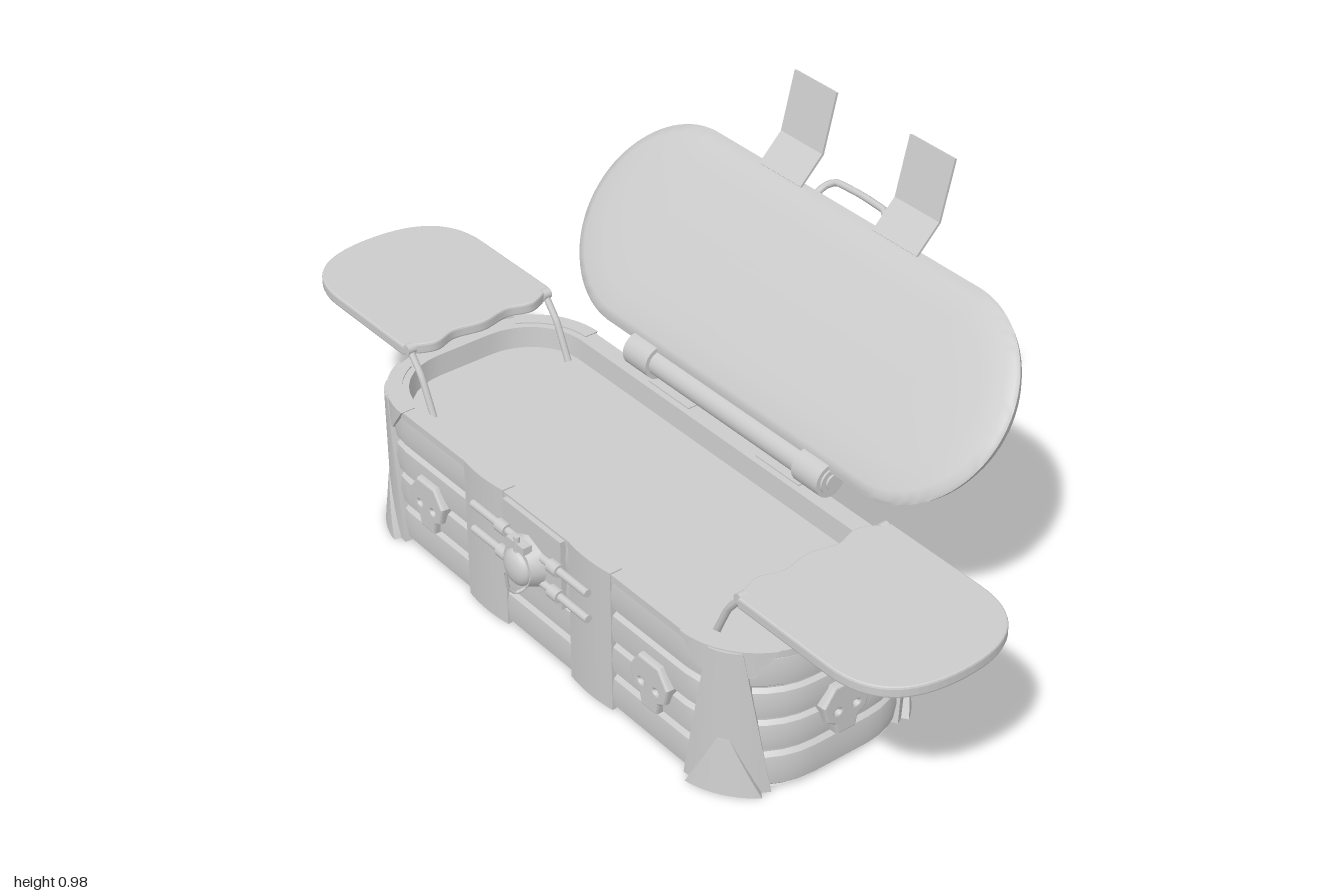
import * as THREE from 'three';
import { toCreasedNormals } from 'three/addons/utils/BufferGeometryUtils.js';

const mat = new THREE.MeshStandardMaterial({ color: 0xcccccc, side: THREE.DoubleSide });
const ZC = 0.155, H = 0.345;            // chest centre in z, chest height
const A = 0.48, B = 0.07, R = 0.18;     // plan: half straights and corner radius
const Q = A + B + R * Math.PI / 2;      // quarter of the perimeter
const CORNER = A + R * 0.56;            // corner posts sit toward the long sides

function add(parent, name, geo, x = 0, y = 0, z = 0) {
  const m = new THREE.Mesh(geo, mat);
  m.name = name;
  m.position.set(x, y, z);
  parent.add(m);
  return m;
}

// Point on the chest outline at arc length s (0 = front middle), pushed out by off
function wall(s, off, y) {
  s = ((s % (4 * Q)) + 4 * Q) % (4 * Q);
  let fx = 1, fz = 1, x, z;
  if (s > 2 * Q) { s = 4 * Q - s; fx = -1; }
  if (s > Q) { s = 2 * Q - s; fz = -1; }
  if (s < A) { x = s; z = B + R + off; }
  else if (s > Q - B) { x = A + R + off; z = Q - s; }
  else {
    const a = (s - A) / R;
    x = A + (R + off) * Math.sin(a);
    z = B + (R + off) * Math.cos(a);
  }
  return new THREE.Vector3(fx * x, y, ZC + fz * z);
}

// Skin over closed rings of equal length
function loft(rings, crease = 0.6) {
  const n = rings[0].length, pos = [], idx = [];
  rings.forEach(r => r.forEach(p => pos.push(p.x, p.y, p.z)));
  for (let j = 0; j < rings.length - 1; j++) for (let i = 0; i < n; i++) {
    const a = j * n + i, b = j * n + (i + 1) % n;
    idx.push(a, b, b + n, a, b + n, a + n);
  }
  const g = new THREE.BufferGeometry();
  g.setAttribute('position', new THREE.Float32BufferAttribute(pos, 3));
  g.setIndex(idx);
  return toCreasedNormals(g, crease);
}

function chestLoft(profile) {
  return loft(profile.map(([off, y]) => Array.from({ length: 96 }, (_, i) =>
    off === null ? new THREE.Vector3(0, y, ZC) : wall(i / 96 * 4 * Q, off, y))));
}

// Plate wrapped on the chest wall, tapering from half-width w0 (bottom) to w1 (top)
function plate(s, y0, y1, w0, w1, d0, d1 = d0, bulge = 0) {
  const g = new THREE.BoxGeometry(2, 1, 1, 10, 4, 1), p = g.attributes.position;
  for (let i = 0; i < p.count; i++) {
    const u = p.getX(i), t = p.getY(i) + 0.5, out = p.getZ(i) > 0;
    const d = out ? d0 + (d1 - d0) * t + bulge * (1 - u * u) : -0.02;
    const v = wall(s + u * (w0 + (w1 - w0) * t), d, y0 + (y1 - y0) * t);
    p.setXYZ(i, v.x, v.y, v.z);
  }
  return toCreasedNormals(g, 0.6);
}

// Flat bar between two points in a yz plane
function bar(parent, name, x, [z0, y0], [z1, y1], w, t) {
  const m = add(parent, name, new THREE.BoxGeometry(w, Math.hypot(z1 - z0, y1 - y0), t), x, (y0 + y1) / 2, (z0 + z1) / 2);
  m.rotation.x = Math.atan2(z1 - z0, y1 - y0);
}

function tube(points, r) {
  const c = new THREE.CatmullRomCurve3(points.map(p => new THREE.Vector3(...p)), false, 'catmullrom', 0.2);
  return new THREE.TubeGeometry(c, 24, r, 8);
}

function rod(r, len, axis) {
  const g = new THREE.CylinderGeometry(r, r, len, 20);
  if (axis === 'x') g.rotateZ(Math.PI / 2);
  if (axis === 'z') g.rotateX(Math.PI / 2);
  return g;
}

function skullGeometry() {
  const half = [[0.03, 0.058], [0.056, 0.022], [0.046, -0.016], [0.026, -0.028], [0.02, -0.054]];
  const pts = [...half, ...half.map(([x, y]) => [-x, y]).reverse()];
  const shape = new THREE.Shape(pts.map(p => new THREE.Vector2(...p)));
  for (const sx of [-1, 1]) shape.holes.push(new THREE.Path().absellipse(sx * 0.024, 0, 0.013, 0.011, 0, Math.PI * 2));
  return new THREE.ExtrudeGeometry(shape, { depth: 0.018, bevelSize: 0.005, bevelThickness: 0.008, bevelSegments: 3, curveSegments: 8 });
}

function buildChest(g) {
  // Four rows of rounded planks, closed underneath
  const planks = [[null, 0], [0, 0]];
  [0, 0.09, 0.17, 0.25, 0.335].forEach((y, i, ys) => {
    if (i === 4) return;
    const h = ys[i + 1] - y;
    planks.push([-0.004, y + 0.002], [0.005, y + h * 0.12], [0.009, y + h * 0.5], [0.005, y + h * 0.88], [-0.004, y + h - 0.002]);
  });
  add(g, 'plankBody', chestLoft(planks));
  add(g, 'rim', chestLoft([[-0.01, 0.325], [0.008, 0.328], [0.008, H], [-0.035, H], [-0.04, 0.29]]));
  add(g, 'innerFloor', chestLoft([[-0.03, 0.295], [null, 0.295]]));
  // Tapered corner posts with pointed feet and top brackets
  for (const s of [CORNER, 2 * Q - CORNER, 2 * Q + CORNER, 4 * Q - CORNER]) {
    add(g, 'cornerPost', plate(s, 0, H, 0.088, 0.034, 0.016, 0.016, 0.003));
    add(g, 'cornerFoot', plate(s, 0, 0.13, 0.07, 0.012, 0.034, 0.02));
    add(g, 'cornerBracket', plate(s, 0.285, H + 0.003, 0.055, 0.1, 0.014));
  }
  // Vertical straps, front and back
  for (const s of [0.183, -0.183, 2 * Q - 0.183, 2 * Q + 0.183])
    add(g, 'strap', plate(s, 0, H + 0.003, 0.07, 0.07, 0.01, 0.01, 0.006));
  // Skull ornaments on all four sides
  const skull = skullGeometry();
  for (const sx of [-1, 1]) {
    add(g, 'frontSkull', skull, sx * 0.39, 0.155, 0.402);
    add(g, 'backSkull', skull, sx * 0.39, 0.155, -0.092).rotation.y = Math.PI;
    add(g, 'sideSkull', skull, sx * 0.66, 0.155, 0.16).rotation.y = sx * Math.PI / 2;
  }
}

function buildLock(g) {
  add(g, 'lockPlate', new THREE.BoxGeometry(0.2, 0.17, 0.03), 0, 0.255, 0.41);
  for (const y of [0.21, 0.275]) {
    add(g, 'lockBar', rod(0.009, 0.4, 'x'), 0, y, 0.432);
    for (const x of [-0.09, 0.09]) add(g, 'barClamp', rod(0.015, 0.03, 'x'), x, y, 0.432);
  }
  add(g, 'lockBody', new THREE.CylinderGeometry(0.05, 0.062, 0.03, 8).rotateX(Math.PI / 2), 0, 0.245, 0.448);
  const dome = add(g, 'lockDome', new THREE.SphereGeometry(0.042, 20, 12), 0, 0.24, 0.462);
  dome.scale.z = 0.5;
  add(g, 'lockBolt', rod(0.007, 0.11, 'y'), 0, 0.262, 0.462);
  add(g, 'lockCap', new THREE.BoxGeometry(0.06, 0.018, 0.022), 0, 0.295, 0.457);
  add(g, 'lockLoop', tube([[-0.04, 0.2, 0.465], [-0.045, 0.16, 0.458], [-0.04, 0.14, 0.443], [-0.03, 0.15, 0.425], [-0.03, 0.18, 0.42]], 0.004));
}

// Swing-out tray on one side; the other is the same turned round
function buildTray(g, sx) {
  const side = new THREE.Group();
  side.name = sx > 0 ? 'leftTray' : 'rightTray';
  side.position.z = 0.153;
  if (sx < 0) side.rotation.y = Math.PI;
  const w = 0.192, s = new THREE.Shape();
  s.moveTo(0.575, -w);
  s.lineTo(0.83, -w);
  s.bezierCurveTo(0.94, -w, 0.996, -0.13, 0.996, 0);
  s.bezierCurveTo(0.996, 0.13, 0.94, w, 0.83, w);
  s.lineTo(0.575, w);
  s.splineThru([[0.545, 0.13], [0.56, 0.07], [0.548, 0], [0.56, -0.07], [0.545, -0.13], [0.575, -w]].map(p => new THREE.Vector2(...p)));
  const geo = new THREE.ExtrudeGeometry(s, { depth: 0.016, bevelSize: 0.004, bevelThickness: 0.005, bevelSegments: 2, curveSegments: 16 });
  add(side, 'trayBoard', geo.rotateX(-Math.PI / 2), 0, 0.426, 0);
  for (const z of [-0.181, 0.181]) {
    add(side, 'trayArm', tube([[0.57, 0.44, z], [0.525, 0.385, z], [0.485, 0.3, z]], 0.008));
    add(side, 'armPivot', rod(0.012, 0.02, 'z'), 0.565, 0.437, z);
  }
  g.add(side);
}

function buildLid(g) {
  const lid = new THREE.Group();
  lid.name = 'lid';
  lid.position.set(0, 0.603, -0.24);
  lid.rotation.x = -0.693;
  // Capsule outline: soft front, recessed back with a raised rim
  const ring = (inset, n) => Array.from({ length: 80 }, (_, i) => {
    const a = (i + 0.5) / 80 * Math.PI * 2, r = 0.24 - inset;
    return new THREE.Vector3(Math.sign(Math.cos(a)) * 0.415 + r * Math.cos(a), r * Math.sin(a), n);
  });
  const profile = [[0.24, -0.018], [0.11, -0.02], [0.08, -0.028], [0.06, -0.045], [0.045, -0.054], [0.03, -0.053],
    [0.018, -0.044], [0.006, -0.025], [0, -0.01], [0.006, -0.002], [0.025, 0.004], [0.08, 0.008], [0.16, 0.01], [0.24, 0.01]];
  add(lid, 'lidShell', loft(profile.map(p => ring(...p)), 1));
  g.add(lid);

  // Bent hasp plates and carrying handle on the free edge
  for (const x of [-0.186, 0.181]) {
    bar(g, 'haspLower', x, [-0.385, 0.78], [-0.445, 0.84], 0.136, 0.006);
    bar(g, 'haspUpper', x, [-0.444, 0.838], [-0.48, 0.975], 0.136, 0.006);
  }
  add(g, 'handle', tube([[-0.1, 0.755, -0.395], [-0.095, 0.778, -0.432], [-0.075, 0.789, -0.448], [0, 0.791, -0.451],
    [0.075, 0.789, -0.448], [0.095, 0.778, -0.432], [0.1, 0.755, -0.395]], 0.008));

  // Hinge barrel with knuckles and brackets
  add(g, 'hingeBarrel', rod(0.03, 0.66, 'x'), 0, 0.388, -0.1);
  for (const x of [-0.285, 0.285]) {
    add(g, 'hingeKnuckle', rod(0.04, 0.08, 'x'), x, 0.388, -0.1);
    add(g, 'hingePin', rod(0.018, 0.1, 'x'), x, 0.388, -0.1);
    bar(g, 'hingeBracket', x, [-0.115, 0.385], [-0.172, 0.435], 0.07, 0.045);
    add(g, 'bracketTip', rod(0.0225, 0.07, 'x'), x, 0.436, -0.167);
  }
}

export function createModel() {
  const g = new THREE.Group();
  g.name = 'openChest';
  buildChest(g);
  buildLock(g);
  buildTray(g, 1);
  buildTray(g, -1);
  buildLid(g);
  return g;
}
